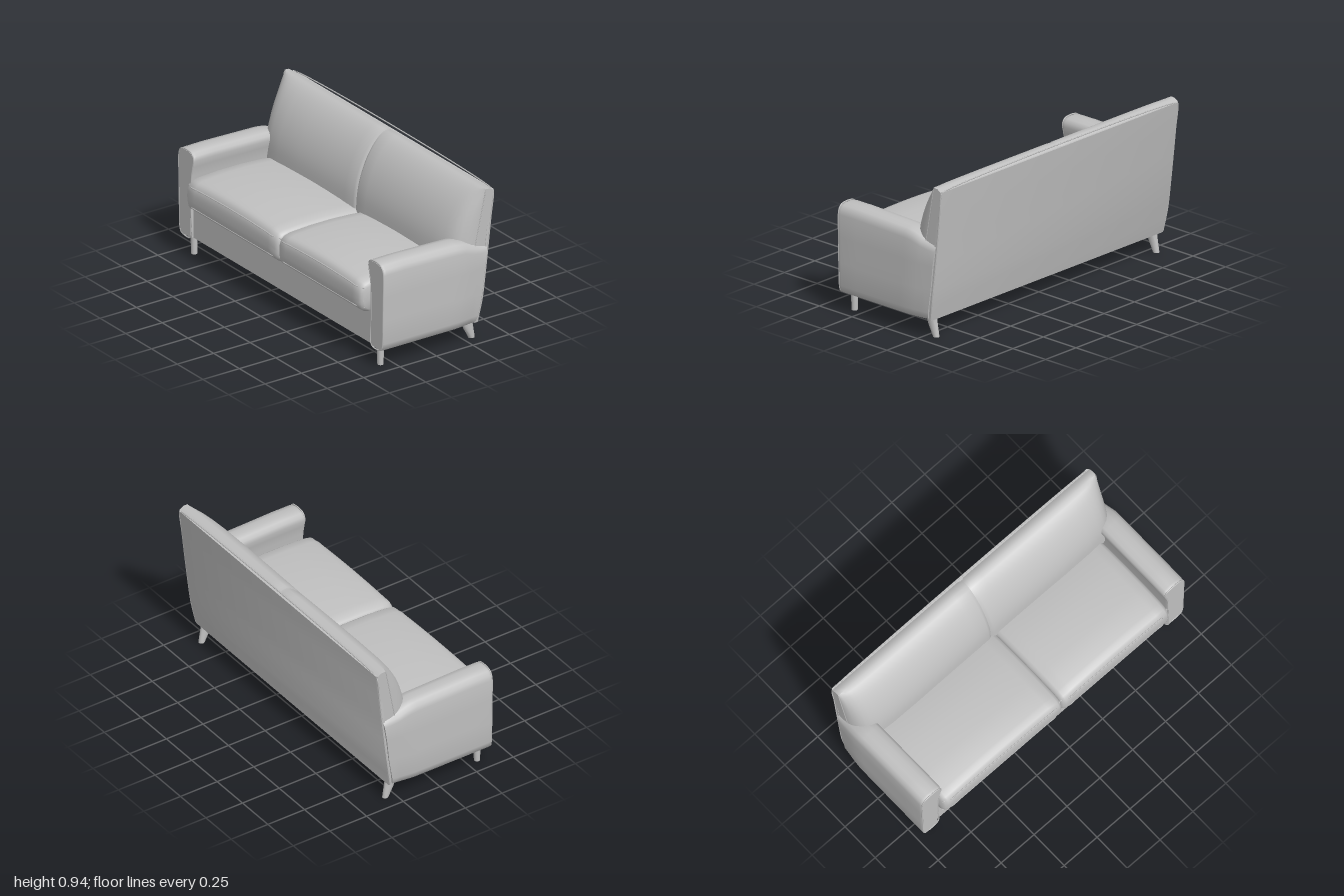
import * as THREE from 'three';
import { mergeVertices, toCreasedNormals } from 'three/addons/utils/BufferGeometryUtils.js';

const V = (x, y, z) => new THREE.Vector3(x, y, z);
const lerp = THREE.MathUtils.lerp;

// Linear lookup in a short [input, output] table
function table(rows, t) {
  if (t <= rows[0][0]) return rows[0][1];
  for (let i = 1; i < rows.length; i++) {
    const [a, va] = rows[i - 1], [b, vb] = rows[i];
    if (t <= b) return lerp(va, vb, (t - a) / (b - a));
  }
  return rows[rows.length - 1][1];
}

// Smooth outline through 2D points
function outline(points, count, closed = true) {
  const curve = new THREE.CatmullRomCurve3(points.map(([a, b]) => V(a, b, 0)), closed, 'centripetal');
  const pts = curve.getSpacedPoints(count);
  if (closed) pts.pop();
  return pts.map((p) => [p.x, p.y]);
}

// Skin over matching rings, with caps; faces are turned outwards by signed volume
function loft(rings, crease = 0.7) {
  const n = rings[0].length, pos = [], idx = [];
  const centre = (r) => r.reduce((s, p) => s.add(p), V(0, 0, 0)).divideScalar(n);
  const verts = [...rings.flat(), centre(rings[0]), centre(rings[rings.length - 1])];
  verts.forEach((p) => pos.push(p.x, p.y, p.z));
  for (let i = 0; i < rings.length - 1; i++) {
    for (let j = 0; j < n; j++) {
      const a = i * n + j, b = i * n + (j + 1) % n;
      idx.push(a, b, b + n, a, b + n, a + n);
    }
  }
  const last = (rings.length - 1) * n;
  for (let j = 0; j < n; j++) {
    const k = (j + 1) % n;
    idx.push(verts.length - 2, k, j, verts.length - 1, last + j, last + k);
  }
  let volume = 0;
  for (let i = 0; i < idx.length; i += 3) {
    volume += verts[idx[i]].dot(verts[idx[i + 1]].clone().cross(verts[idx[i + 2]]));
  }
  if (volume < 0) idx.reverse();
  const g = new THREE.BufferGeometry();
  g.setAttribute('position', new THREE.Float32BufferAttribute(pos, 3));
  g.setIndex(idx);
  return toCreasedNormals(mergeVertices(g), crease);
}

// Piping along a path of points
function piping(points, closed = false, radius = 0.004) {
  const path = new THREE.CatmullRomCurve3(points, closed, 'centripetal');
  return new THREE.TubeGeometry(path, 80, radius, 6, closed);
}

const rearZ = (y) => table([[0.11, -0.316], [0.3, -0.349], [0.6, -0.383], [0.91, -0.416]], y);
const seamZ = (y) => -0.29 - 0.2 * (y - 0.605);

export function createModel() {
  const sofa = new THREE.Group();
  sofa.name = 'sofa';
  const upholstery = new THREE.MeshStandardMaterial({ color: 0xc0c0c0 });
  upholstery.name = 'grey upholstery';
  const add = (name, geometry) => {
    const mesh = new THREE.Mesh(geometry, upholstery);
    mesh.name = name;
    sofa.add(mesh);
    return mesh;
  };

  // Base rail and underside
  add('base', new THREE.BoxGeometry(1.78, 0.215, 0.655)).position.set(0, 0.2225, 0.0175);

  // Back panel: a thin, slightly bowed slab with piping round its edge
  const panelRings = [0.11, 0.2, 0.3, 0.45, 0.6, 0.75, 0.91].map((y) => {
    const w = table([[0.11, 0.955], [0.25, 0.968], [0.91, 0.973]], y), z = rearZ(y);
    return [V(-w, y, z + 0.025), V(w, y, z + 0.025), V(w, y, z + 0.004), V(w - 0.008, y, z),
      V(-w + 0.008, y, z), V(-w, y, z + 0.004)];
  });
  add('backPanel', loft(panelRings));
  const panelEdge = (s) => [0.115, 0.25, 0.4, 0.6, 0.75, 0.9].map((y) =>
    V(s * table([[0.11, 0.955], [0.25, 0.968], [0.91, 0.973]], y), y, rearZ(y) + 0.006));
  add('backPiping', piping([...panelEdge(-1), V(-0.96, 0.909, -0.41), V(0.96, 0.909, -0.41),
    ...panelEdge(1).reverse()]));

  const backProfile = [
    ...outline([[-0.14, 0.45], [-0.15, 0.6], [-0.175, 0.7], [-0.215, 0.79], [-0.263, 0.86],
      [-0.31, 0.905], [-0.352, 0.927], [-0.385, 0.924], [-0.408, 0.908]], 20, false),
    [-0.37, 0.6], [-0.355, 0.45],
  ];
  const armSection = [[0.875, 0.115], [0.872, 0.3], [0.868, 0.5], [0.856, 0.56], [0.847, 0.6], [0.85, 0.628],
    [0.867, 0.645], [0.9, 0.651], [0.94, 0.651], [0.973, 0.643], [0.992, 0.622], [0.999, 0.59],
    [0.997, 0.45], [0.994, 0.3], [0.99, 0.16], [0.98, 0.122], [0.965, 0.112]];
  const cushionFront = outline([[0.33, 0.3], [0.375, 0.312], [0.403, 0.338], [0.412, 0.4],
    [0.406, 0.462], [0.385, 0.494], [0.34, 0.509]], 20, false);

  for (const s of [1, -1]) {
    const side = s > 0 ? 'left' : 'right';

    // Back cushion half: full bulge in the middle, tapering to the side seam
    const backRings = [0, 0.006, 0.02, 0.1, 0.3, 0.55, 0.75, 0.84, 0.88, 0.91, 0.935, 0.955, 0.966, 0.971].map((x) => {
      const bulge = table([[0, 0.9], [0.006, 0.94], [0.02, 0.97], [0.1, 0.99], [0.5, 1.04], [0.75, 1], [0.84, 0.93],
        [0.88, 0.86], [0.91, 0.76], [0.935, 0.6], [0.955, 0.38], [0.966, 0.18], [0.971, 0]], x);
      const dip = x < 0.01 ? 0.004 : 0;
      return backProfile.map(([z, y]) => {
        const seam = seamZ(y);
        const flare = x > 0.95 ? 0.006 * (y - 0.7) / 0.2 : 0;
        return V(s * (x + flare), y - dip, z > seam ? lerp(seam, z, bulge) : z);
      });
    });
    add(side + 'BackCushion', loft(backRings, 0.8));
    add(side + 'BackSidePiping', piping([0.58, 0.7, 0.8, 0.9, 0.92].map((y) =>
      V(s * (0.971 + 0.006 * (y - 0.7) / 0.2), y, seamZ(y))), false, 0.003));

    // Arm: rounded section run front to back, rear end following the slope of the back
    const armRings = [0, 0.012, 0.03, 0.2, 0.45, 0.7, 0.78, 0.86, 0.93, 1].map((t, i) => {
      const inset = [0.03, 0.008][i] ?? 0;
      return armSection.map(([x, y]) => {
        const z = lerp(0.362, rearZ(y) + 0.02, t);
        const drop = table([[-0.37, 0.06], [-0.29, 0.052], [-0.19, 0.012], [0.3, 0], [0.37, 0.006]], z);
        const ny = y - drop * THREE.MathUtils.smoothstep(y, 0.4, 0.65);
        const nx = x - (t > 0.8 && x > 0.95 ? (t - 0.8) * 0.09 : 0);
        return V(s * lerp(nx, 0.925, inset * 2), lerp(ny, 0.38, inset * 0.5), z);
      });
    });
    add(side + 'Arm', loft(armRings, 0.8));
    add(side + 'ArmPiping', piping(armSection.map(([x, y]) =>
      V(s * lerp(x, 0.925, 0.07), lerp(y, 0.38, 0.015), 0.36)), true));

    // Seat cushion: crowned on top, with a boxed front and piped edges
    const inner = 0.034, outer = s > 0 ? 0.845 : -0.862;
    const shape = (u) => {
      const edge = Math.min(u, 1 - u);
      return {
        x: lerp(inner, outer, u),
        crown: 0.024 * Math.sin(Math.PI * u) ** 0.7 - 0.014,
        pull: edge < 0.03 ? 0.022 * (1 - edge / 0.03) ** 2 : 0,
      };
    };
    const seatRings = [0, 0.01, 0.03, 0.1, 0.2, 0.35, 0.5, 0.65, 0.8, 0.9, 0.97, 0.99, 1].map((u) => {
      const { x, crown, pull } = shape(u);
      const ring = [...cushionFront, [0.2, 0.517], [0.05, 0.517], [-0.1, 0.508], [-0.2, 0.49], [-0.2, 0.3]];
      return ring.map(([z, y]) => V(x, y > 0.4 ? y + crown * (y - 0.4) / 0.11 - pull
        : y + pull * 0.6, z > 0.3 ? z - pull : z));
    });
    add(side + 'SeatCushion', loft(seatRings, 0.9));
    for (const [y, z, label] of [[0.468, 0.405, 'Upper'], [0.342, 0.404, 'Lower']]) {
      const line = [];
      for (let i = 0; i <= 16; i++) {
        const { x, crown, pull } = shape(i / 16);
        line.push(V(x, y + (y > 0.4 ? crown * 0.62 : 0), z - pull));
      }
      add(side + label + 'SeatPiping', piping(line));
    }

    // Front leg: straight and slightly tapered
    const frontLeg = add(side + 'FrontLeg', new THREE.CylinderGeometry(0.021, 0.018, 0.13, 16));
    frontLeg.position.set(s * 0.905, 0.065, 0.318);

    // Back leg: curved and raked backwards
    const legRings = [[0, -0.288, -0.326], [0.03, -0.272, -0.322], [0.06, -0.255, -0.317],
      [0.09, -0.242, -0.312], [0.125, -0.233, -0.308]].map(([y, zf, zr]) => {
      const ring = [];
      for (let i = 0; i < 16; i++) {
        const a = i * Math.PI / 8;
        ring.push(V(s * 0.905 + (0.017 + y * 0.04) * Math.cos(a), y, (zf + zr) / 2 + (zf - zr) / 2 * Math.sin(a)));
      }
      return ring;
    });
    add(side + 'BackLeg', loft(legRings));
  }
  return sofa;
}
